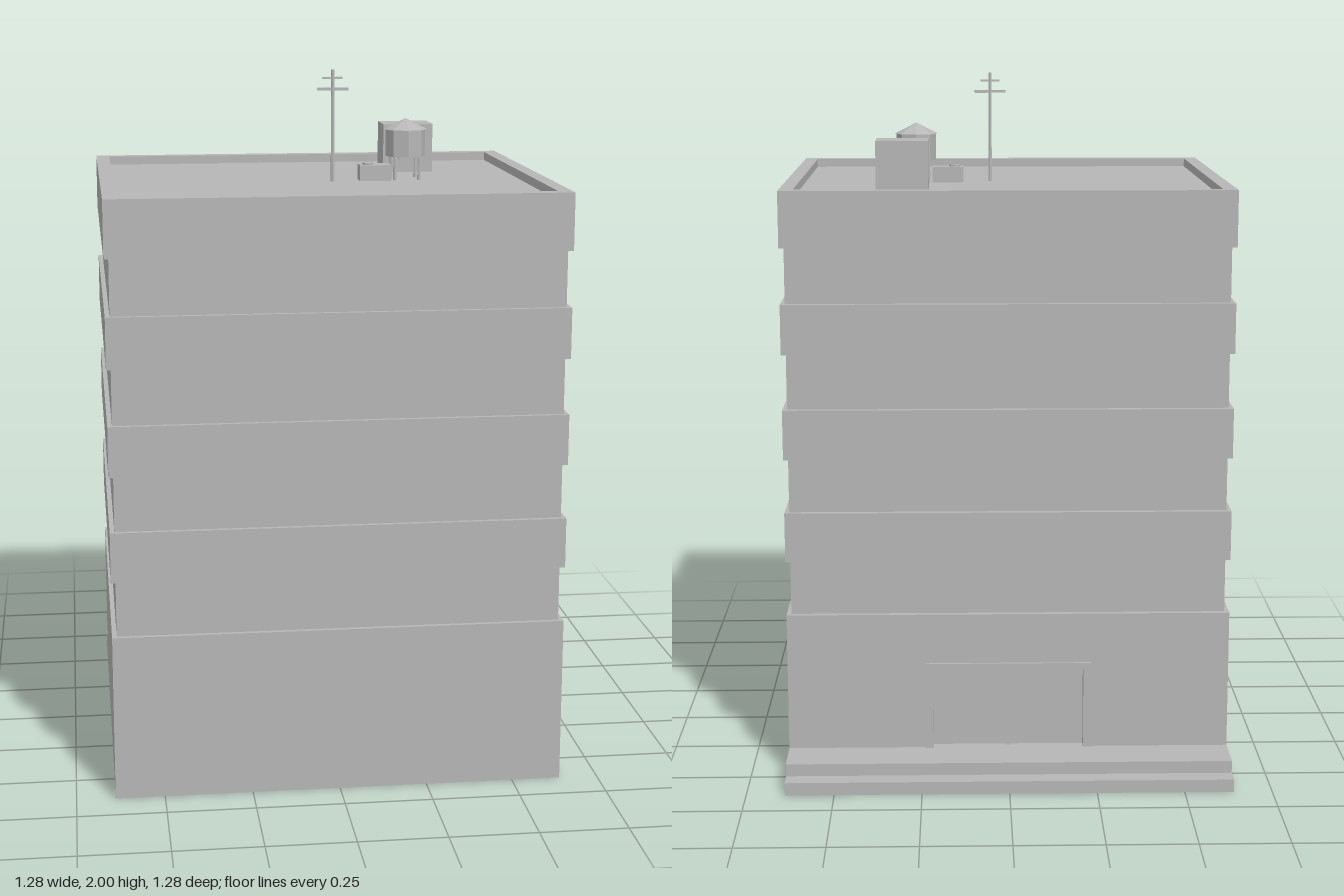
import * as THREE from 'three';

const concrete = new THREE.MeshStandardMaterial({ color: 0xb6b6b6 });
concrete.name = 'concrete grey';

function add(parent, name, geometry, x = 0, y = 0, z = 0) {
  const mesh = new THREE.Mesh(geometry, concrete);
  mesh.name = name;
  mesh.position.set(x, y, z);
  parent.add(mesh);
  return mesh;
}

// Box given by its extents on each axis
function box(parent, name, x0, x1, y0, y1, z0, z1) {
  return add(parent, name, new THREE.BoxGeometry(x1 - x0, y1 - y0, z1 - z0),
    (x0 + x1) / 2, (y0 + y1) / 2, (z0 + z1) / 2);
}

// Faceted drum
function drum(parent, name, rTop, rBottom, y0, y1, x, z, sides = 8) {
  const g = new THREE.CylinderGeometry(rTop, rBottom, y1 - y0, sides).toNonIndexed();
  g.computeVertexNormals();
  return add(parent, name, g, x, (y0 + y1) / 2, z);
}

function rect(Type, x0, x1, y0, y1) {
  return new Type([[x0, y0], [x1, y0], [x1, y1], [x0, y1]].map(p => new THREE.Vector2(...p)));
}

// Rectangular plate with a rectangular hole
function ring(outer, inner, depth) {
  const shape = rect(THREE.Shape, ...outer);
  shape.holes.push(rect(THREE.Path, ...inner));
  return new THREE.ExtrudeGeometry(shape, { depth, bevelEnabled: false });
}

export function createModel() {
  const model = new THREE.Group();
  model.name = 'officeBuilding';
  const W = 0.64, front = 0.64, back = -0.46, roofY = 1.675, stepY = 0.073;

  // Ground floor, with a doorway cut through its back wall
  box(model, 'groundFloor', -W, W, 0, 0.477, -0.435, front);
  add(model, 'entranceWall', ring([-W, W, 0, 0.477], [-0.218, 0.218, stepY, 0.31], 0.025), 0, 0, back);

  // Recessed window floors and projecting bands
  const bands = [[0.636, 0.78], [0.936, 1.08], [1.238, 1.382], [1.54, roofY]];
  let below = 0.477;
  for (const [y0, y1] of bands) {
    box(model, 'recessedFloor', -W + 0.013, W - 0.013, below, y0, back + 0.016, front - 0.013);
    box(model, 'band', -W, W, y0, y1, back, front);
    below = y1;
  }

  // Parapet round the roof
  const parapet = add(model, 'parapet',
    ring([-W, W, -front, -back], [-0.6, 0.6, -0.6, 0.422], 1.7 - roofY), 0, roofY, 0);
  parapet.rotation.x = -Math.PI / 2;

  // Entrance steps, full width at the back
  box(model, 'lowerStep', -W, W, 0, 0.037, -0.64, back);
  box(model, 'upperStep', -W, W, 0.037, stepY, -0.588, back);

  // Door surround and double doors
  const entrance = new THREE.Group();
  entrance.name = 'entrance';
  model.add(entrance);
  for (const s of [-1, 1]) {
    const x = s * 0.23;
    box(entrance, 'doorJamb', x - 0.012, x + 0.012, stepY, 0.33, -0.467, back);
  }
  box(entrance, 'doorHead', -0.218, 0.218, 0.31, 0.33, -0.467, back);
  box(entrance, 'doorMullion', -0.007, 0.007, stepY, 0.31, -0.445, -0.435);

  // Stair hut with a door facing the front
  const hut = new THREE.Group();
  hut.name = 'stairHut';
  model.add(hut);
  box(hut, 'hutWalls', 0.226, 0.377, roofY, 1.82, -0.233, -0.119);
  box(hut, 'hutDoor', 0.272, 0.328, roofY, 1.788, -0.119, -0.115);

  // Water tank on four legs
  const tank = new THREE.Group();
  tank.name = 'waterTank';
  tank.position.set(0.265, 0, 0.056);
  model.add(tank);
  drum(tank, 'tankBody', 0.059, 0.059, 1.743, 1.823, 0, 0);
  drum(tank, 'tankRoof', 0, 0.064, 1.822, 1.854, 0, 0);
  for (const sx of [-1, 1])
    for (const sz of [-1, 1])
      drum(tank, 'tankLeg', 0.005, 0.005, roofY, 1.743, sx * 0.036, sz * 0.036, 6);

  // Air conditioning unit
  box(model, 'airUnit', 0.124, 0.217, roofY, 1.721, 0.049, 0.106);
  drum(model, 'airUnitFan', 0.016, 0.016, 1.721, 1.727, 0.15, 0.078);

  // Antenna mast
  const antenna = new THREE.Group();
  antenna.name = 'antenna';
  antenna.position.set(0.043, 0, 0.098);
  model.add(antenna);
  drum(antenna, 'mast', 0.005, 0.006, roofY, 2, 0, 0, 6);
  box(antenna, 'lowerBar', -0.046, 0.046, 1.94, 1.948, -0.003, 0.003);
  box(antenna, 'upperBar', -0.029, 0.029, 1.973, 1.979, -0.003, 0.003);

  return model;
}
